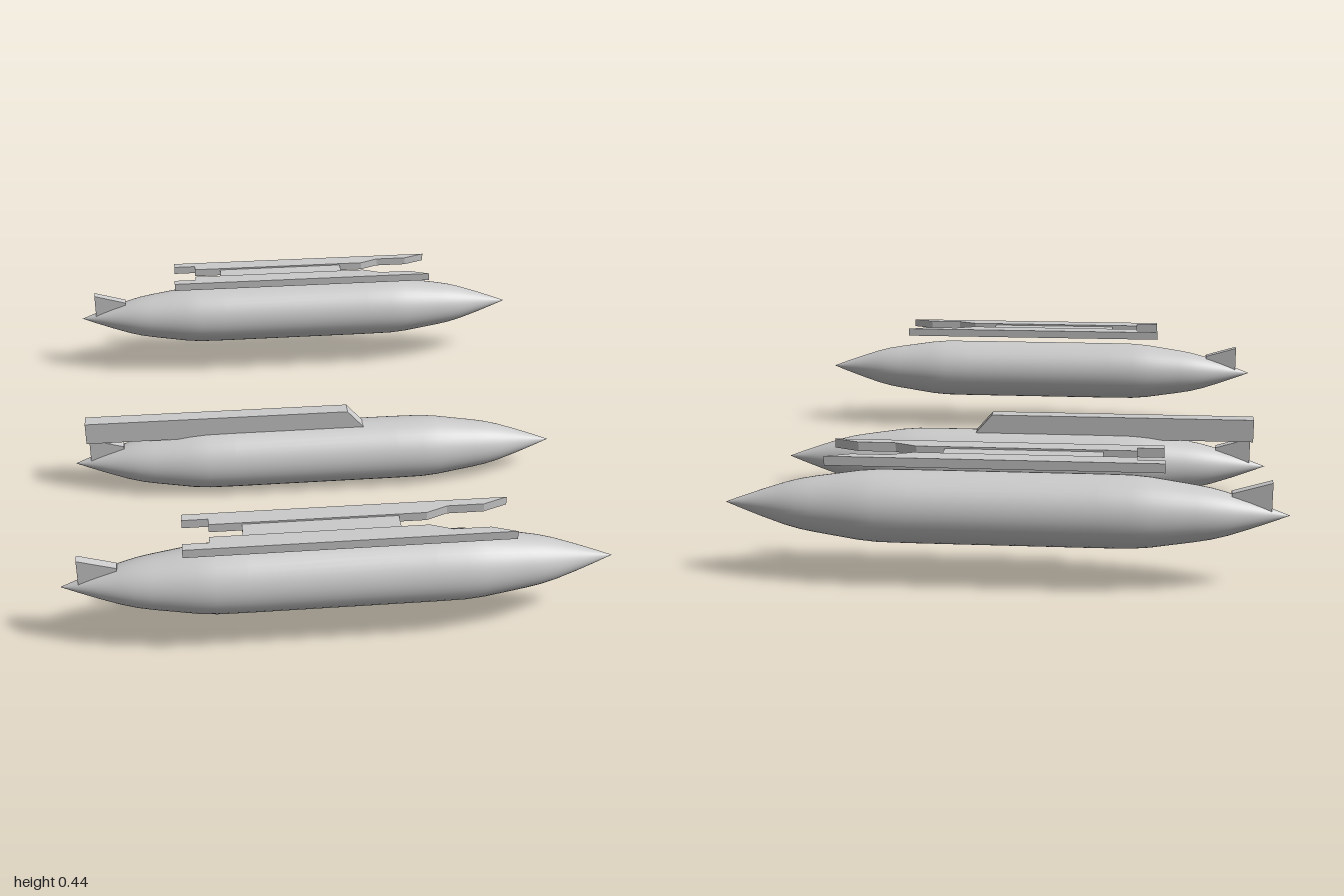
import * as THREE from 'three';

const material = new THREE.MeshStandardMaterial({ color: 0xcccccc });

function mesh(name, geometry) {
  const m = new THREE.Mesh(geometry, material);
  m.name = name;
  return m;
}

function shapeOf(points) {
  return new THREE.Shape(points.map(([x, y]) => new THREE.Vector2(x, y)));
}

// Side outline in x/y, given a thickness centred on z = 0
function sidePlate(name, points, width) {
  const g = new THREE.ExtrudeGeometry(shapeOf(points), { depth: width, bevelEnabled: false });
  g.translate(0, 0, -width / 2);
  return mesh(name, g);
}

// Plan outline in x/z, given a thickness centred on height y
function flatPlate(name, points, thickness, y) {
  const g = new THREE.ExtrudeGeometry(shapeOf(points), { depth: thickness, bevelEnabled: false });
  g.rotateX(-Math.PI / 2);
  g.translate(0, y - thickness / 2, 0);
  return mesh(name, g);
}

// Spindle-shaped tank body lying along x, pointed at both ends
function tankBody() {
  const half = [
    [0.893, 0], [0.84, 0.02], [0.77, 0.045], [0.7, 0.068], [0.65, 0.081],
    [0.6, 0.09], [0.52, 0.102], [0.46, 0.111], [0.4, 0.116], [0.3, 0.117],
  ];
  const profile = [
    ...half.map(([x, r]) => new THREE.Vector2(r, -x)),
    ...half.slice().reverse().map(([x, r]) => new THREE.Vector2(r, x)),
  ];
  const g = new THREE.LatheGeometry(profile, 40);
  g.rotateZ(-Math.PI / 2);
  return mesh('tankBody', g);
}

// Body with its upright tail fin
function tank() {
  const group = new THREE.Group();
  group.add(tankBody());
  group.add(sidePlate('tailFin', [[-0.835, 0], [-0.71, 0.03], [-0.71, 0.073], [-0.835, 0.11]], 0.03));
  return group;
}

// Notched mounting plate: two long rails joined by a thinner web
function mountingPlate() {
  const group = new THREE.Group();
  group.name = 'mountingPlate';
  const y = 0.175;
  for (const s of [1, -1]) {
    const outline = [
      [-0.5, 0.092], [-0.5, 0.061], [-0.415, 0.061], [-0.415, 0.032],
      [0.28, 0.032], [0.35, 0.061], [0.47, 0.061], [0.55, 0.092],
    ].map(([x, z]) => [x, z * s]);
    group.add(flatPlate(s > 0 ? 'rightRail' : 'leftRail', outline, 0.03, y));
  }
  const web = mesh('web', new THREE.BoxGeometry(0.5, 0.018, 0.066));
  web.position.set(-0.06, y, 0);
  group.add(web);
  return group;
}

export function createModel() {
  const model = new THREE.Group();
  model.name = 'dropTanks';

  // Outer tanks, each under its mounting plate
  for (const s of [1, -1]) {
    const outer = tank();
    outer.name = s > 0 ? 'frontTank' : 'backTank';
    outer.add(mountingPlate());
    outer.position.set(0, 0.25, s * 0.883);
    model.add(outer);
  }

  // Lower middle tank with a long pylon beam
  const middle = tank();
  middle.name = 'middleTank';
  middle.add(sidePlate('pylon', [[-0.845, 0.1], [0.18, 0.1], [0.18, 0.115], [0.12, 0.184], [-0.845, 0.184]], 0.05));
  middle.position.y = 0.121;
  model.add(middle);

  model.position.y = -0.004;
  return model;
}
